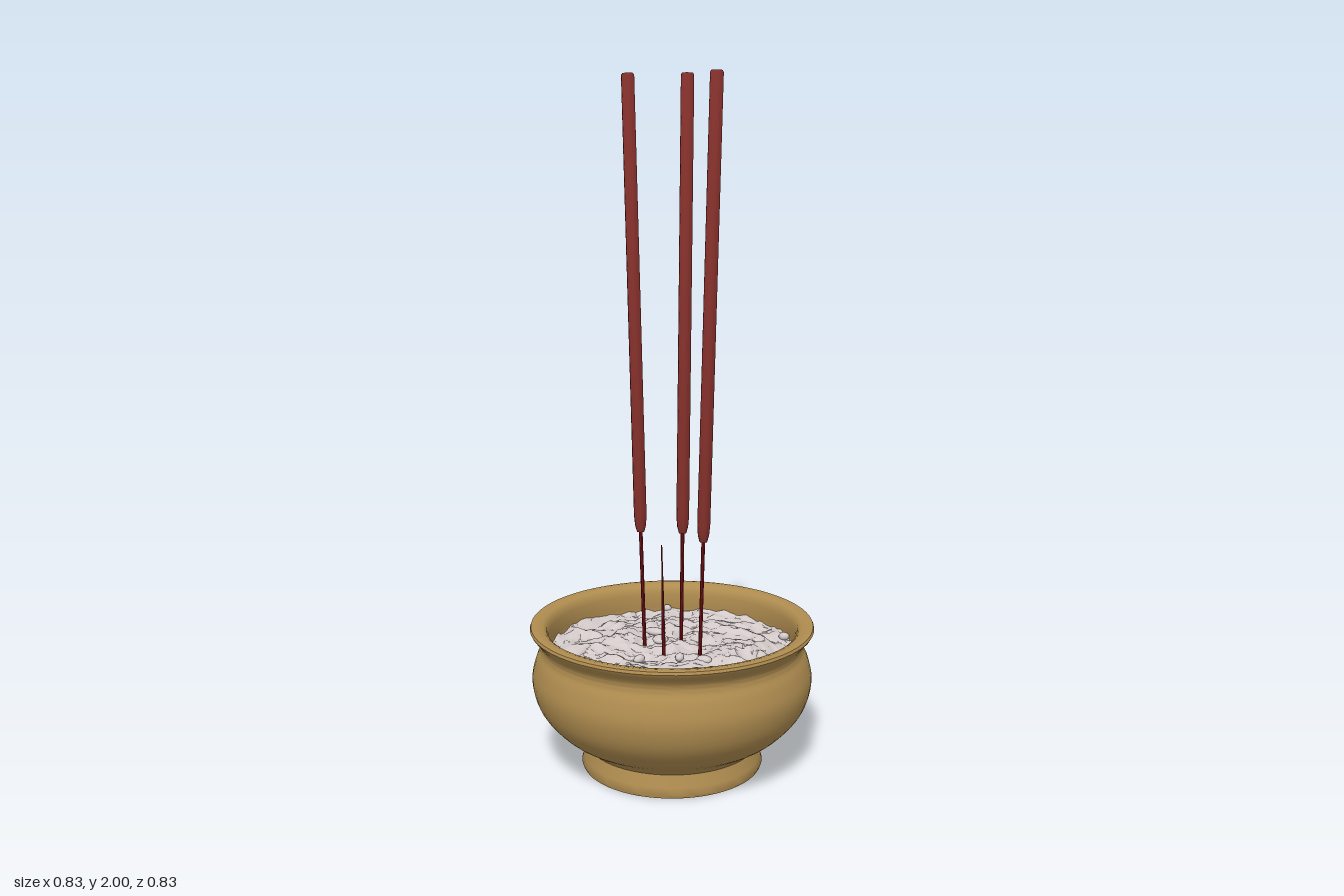
import * as THREE from 'three';
import { toCreasedNormals } from 'three/addons/utils/BufferGeometryUtils.js';

const V2 = (x, y) => new THREE.Vector2(x, y);
const V3 = (x, y, z) => new THREE.Vector3(x, y, z);

const brass = new THREE.MeshStandardMaterial({ color: 0xb08d50 });
const ash = new THREE.MeshStandardMaterial({ color: 0xd3c9c9 });
const incenseRed = new THREE.MeshStandardMaterial({ color: 0x85302b });
const stemRed = new THREE.MeshStandardMaterial({ color: 0x80141a });
brass.name = 'brass';
ash.name = 'ash';
incenseRed.name = 'incense red';
stemRed.name = 'stem red';

// Smooth value noise on an integer lattice
function hash(i, j) {
  const s = Math.sin(i * 127.1 + j * 311.7) * 43758.5453;
  return s - Math.floor(s);
}
function noise(x, y) {
  const i = Math.floor(x), j = Math.floor(y);
  const ease = (t) => t * t * (3 - 2 * t);
  const u = ease(x - i), v = ease(y - j);
  const a = hash(i, j) * (1 - u) + hash(i + 1, j) * u;
  const b = hash(i, j + 1) * (1 - u) + hash(i + 1, j + 1) * u;
  return a * (1 - v) + b * v - 0.5;
}

// Bowl with hollow foot, round belly, flared lip and inner wall
function makeBowl() {
  const belly = new THREE.SplineCurve([
    V2(0.252, 0.065), V2(0.275, 0.085), V2(0.335, 0.125), V2(0.39, 0.19),
    V2(0.411, 0.265), V2(0.4, 0.325), V2(0.385, 0.36), V2(0.388, 0.385), V2(0.412, 0.415),
  ]).getPoints(32);
  const profile = [
    V2(0, 0.045), V2(0.12, 0.042), V2(0.21, 0.035), V2(0.232, 0.025), V2(0.24, 0.004),
    V2(0.25, 0), V2(0.264, 0), V2(0.268, 0.01), V2(0.262, 0.03),
    ...belly,
    V2(0.416, 0.422), V2(0.413, 0.43), V2(0.4, 0.432), V2(0.378, 0.428),
    V2(0.368, 0.42), V2(0.363, 0.4), V2(0.362, 0.36), V2(0.368, 0.32), V2(0.33, 0.25), V2(0, 0.2),
  ];
  return new THREE.Mesh(toCreasedNormals(new THREE.LatheGeometry(profile, 64), 0.7), brass);
}

// Rough ash surface: disc displaced by noise and a shallow ring ridge
function makeAsh() {
  const geo = new THREE.RingGeometry(0.0005, 0.366, 110, 44);
  geo.rotateX(-Math.PI / 2);
  const p = geo.attributes.position;
  for (let k = 0; k < p.count; k++) {
    const x = p.getX(k), z = p.getZ(k), r = Math.hypot(x, z);
    const bumps = 0.022 * noise(x * 22 + 50, z * 22 + 50)
      + 0.014 * noise(x * 48 + 90, z * 48 + 90)
      + 0.007 * noise(x * 95 + 20, z * 95 + 20);
    const ridge = 0.008 * Math.cos((r - 0.2) * 28);
    p.setY(k, 0.352 + bumps + ridge);
  }
  geo.computeVertexNormals();
  return new THREE.Mesh(toCreasedNormals(geo, 0.6), ash);
}

// Straight tapered rod between two points, optionally with rounded ends
function rod(a, b, profile, material, sides) {
  const length = a.distanceTo(b);
  const points = profile.map(([r, d]) => V2(r, d < 0 ? length + d : d));
  points.push(V2(0, length));
  const geo = toCreasedNormals(new THREE.LatheGeometry(points, sides), 0.9);
  const mesh = new THREE.Mesh(geo, material);
  mesh.position.copy(a);
  mesh.quaternion.setFromUnitVectors(V3(0, 1, 0), b.clone().sub(a).normalize());
  return mesh;
}

// Incense stick: thin stem below, thick coated part above
function makeStick(foot, joint, top) {
  const stick = new THREE.Group();
  const stem = rod(foot, joint, [[0, 0], [0.0055, 0.001], [0.0055, -0.001]], stemRed, 8);
  stem.name = 'stem';
  const start = joint.clone().lerp(foot, 0.03);
  const coating = rod(start, top,
    [[0, 0], [0.011, 0.001], [0.016, 0.02], [0.0185, 0.05], [0.0185, -0.006], [0.015, -0.0005]],
    incenseRed, 12);
  coating.name = 'coating';
  stick.add(stem, coating);
  return stick;
}

export function createModel() {
  const model = new THREE.Group();
  const add = (name, object) => {
    object.name = name;
    model.add(object);
  };
  add('bowl', makeBowl());
  add('ashBed', makeAsh());

  // Small lumps lying on the ash
  const lumps = new THREE.Group();
  for (const [x, z, a, b, turn] of [
    [-0.11, -0.08, 0.034, 0.018, 0.1], [0.07, 0.07, 0.013, 0.02, 0.4], [-0.02, 0.145, 0.014, 0.022, 0],
    [-0.2, -0.29, 0.014, 0.012, 0], [0.24, -0.25, 0.016, 0.013, 0.5], [0.14, 0.05, 0.024, 0.02, 0],
    [-0.06, -0.03, 0.024, 0.03, 0.5],
  ]) {
    const lump = new THREE.Mesh(new THREE.SphereGeometry(1, 12, 8), ash);
    lump.scale.set(a, 0.012, b);
    lump.position.set(x, 0.357, z);
    lump.rotation.y = turn;
    lump.name = 'lump';
    lumps.add(lump);
  }
  add('ashLumps', lumps);

  // Three tall sticks leaning slightly outwards
  add('leftStick', makeStick(V3(0.095, 0.31, 0), V3(0.106, 0.7, 0), V3(0.142, 2, 0)));
  add('rightStick', makeStick(V3(-0.095, 0.31, 0), V3(-0.109, 0.7, 0), V3(-0.146, 2, 0)));
  add('backStick', makeStick(V3(0.004, 0.31, -0.044), V3(0.004, 0.7, -0.052), V3(0.005, 2, -0.073)));

  // Burnt-down stem at the front
  add('burntStem', rod(V3(0.004, 0.31, 0.05), V3(0.004, 0.68, 0.062),
    [[0, 0], [0.006, 0.001], [0.005, 0.12], [0.0015, -0.001]], stemRed, 8));
  return model;
}
